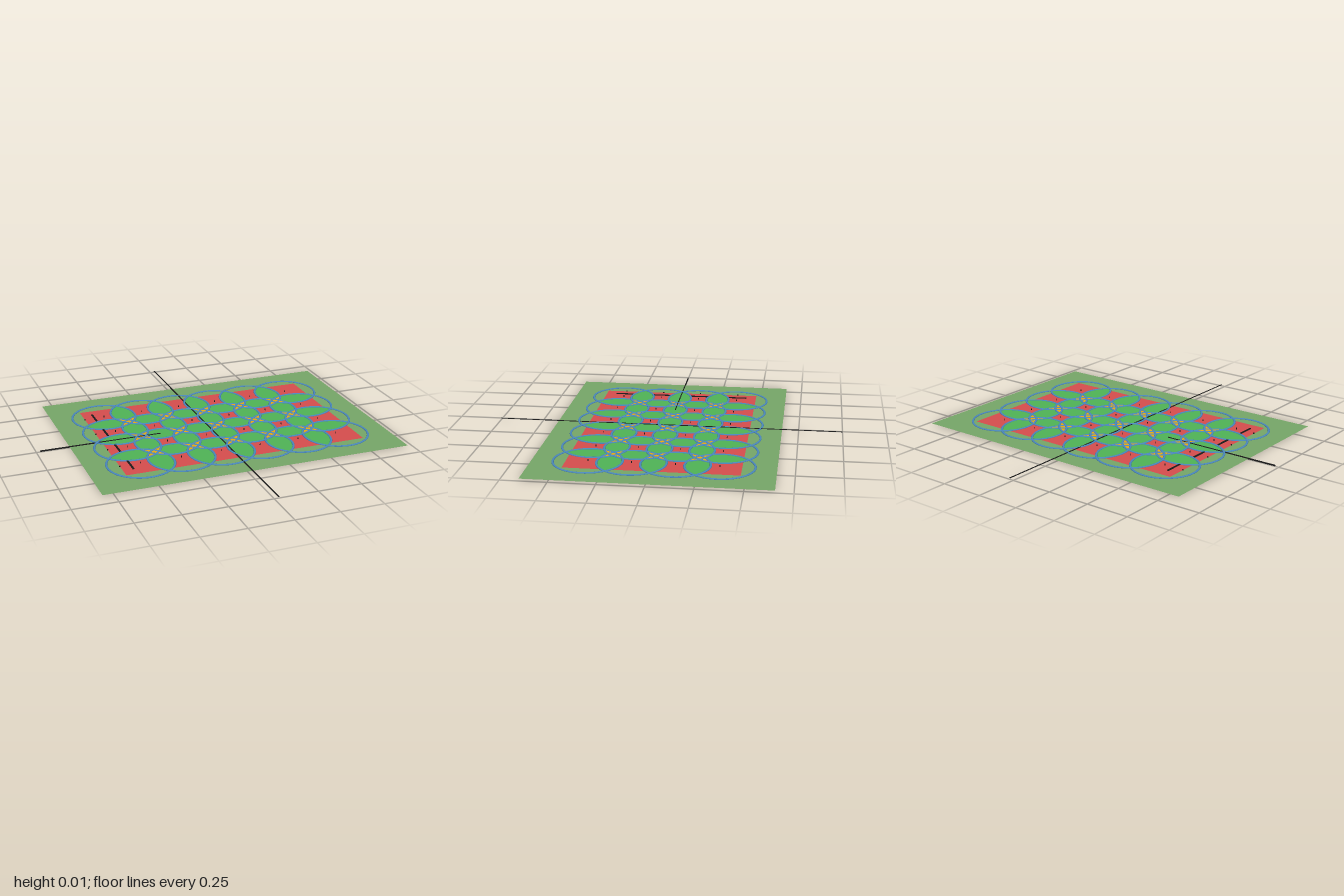
import * as THREE from 'three';

const PITCH = 0.2355, RADIUS = 0.1875, TUBE = 0.0066, CENTER_X = 0.083;
const COLS = 6, ROWS = 4;

function mat(name, color, twoSided = false) {
  const m = new THREE.MeshStandardMaterial({ color });
  m.name = name;
  if (twoSided) m.side = THREE.DoubleSide;
  return m;
}

// Flat almond shape where two circles, each d from the middle, overlap; long along z
function lensGeometry(d) {
  const a = Math.acos(d / RADIUS);
  const s = new THREE.Shape();
  s.absarc(-d, 0, RADIUS, -a, a, false);
  s.absarc(d, 0, RADIUS, Math.PI - a, Math.PI + a, false);
  return new THREE.ShapeGeometry(s, 20).rotateX(-Math.PI / 2);
}

export function createModel() {
  const model = new THREE.Group();
  model.name = 'circlePattern';

  const lawn = mat('lawn green', 0x75a567, true);
  const red = mat('bed red', 0xd44c4c, true);
  const leaf = mat('petal green', 0x4fb255, true);
  const gold = mat('star gold', 0xf0b010, true);
  const steel = mat('ring blue', 0x4a88bc);
  const black = mat('line black', 0x1a1a1a);

  const add = (name, geo, material, x, y, z, turn = 0) => {
    const mesh = new THREE.Mesh(geo, material);
    mesh.name = name;
    mesh.position.set(x, y, z);
    mesh.rotation.y = turn;
    model.add(mesh);
  };
  const sheet = (w, d) => new THREE.PlaneGeometry(w, d).rotateX(-Math.PI / 2);
  const colX = (c) => CENTER_X + (c - (COLS - 1) / 2) * PITCH;
  const rowZ = (r) => (r - (ROWS - 1) / 2) * PITCH;

  // Ground sheets
  add('lawn', sheet(1.785, 1.31), lawn, CENTER_X, 0.0035, 0);
  add('bed', sheet(COLS * PITCH, ROWS * PITCH), red, CENTER_X, 0.0042, 0);

  // Overlapping rings with a small centre pin
  const ring = new THREE.TorusGeometry(RADIUS, TUBE, 8, 64).rotateX(Math.PI / 2).scale(1, 0.75, 1);
  const pin = new THREE.CylinderGeometry(0.0025, 0.0025, 0.01, 8);
  const edgePin = new THREE.CylinderGeometry(0.004, 0.004, 0.005, 8);
  const petal = lensGeometry(PITCH / 2);
  const star = lensGeometry(PITCH / Math.SQRT2);
  for (let r = 0; r < ROWS; r++) {
    for (let c = 0; c < COLS; c++) {
      const x = colX(c), z = rowZ(r);
      add('ring', ring, steel, x, 0.005, z);
      add('centrePin', pin, black, x, 0.009, z);
      const right = c < COLS - 1, below = r < ROWS - 1;
      // Petals between neighbours, crossed gold lenses where four rings meet
      if (right) add('petal', petal, leaf, x + PITCH / 2, 0.0049, z);
      if (below) add('petal', petal, leaf, x, 0.0049, z + PITCH / 2, Math.PI / 2);
      if (right && below) {
        for (const s of [-1, 1]) {
          add('star', star, gold, x + PITCH / 2, 0.0056, z + PITCH / 2, s * Math.PI / 4);
        }
      }
    }
    // Row marks at the end of the bed
    add('rowBar', new THREE.BoxGeometry(0.01, 0.006, 0.115), black, -0.564, 0.0055, rowZ(r));
    add('edgePin', edgePin, black, CENTER_X - COLS * PITCH / 2, 0.0065, rowZ(r));
  }

  // Long axis lines
  add('crossLine', new THREE.BoxGeometry(0.007, 0.0025, 2), black, 0.025, 0.0075, 0);
  add('sideLine', new THREE.BoxGeometry(0.708, 0.007, 0.005), black, -0.624, 0.005, 0);
  return model;
}
